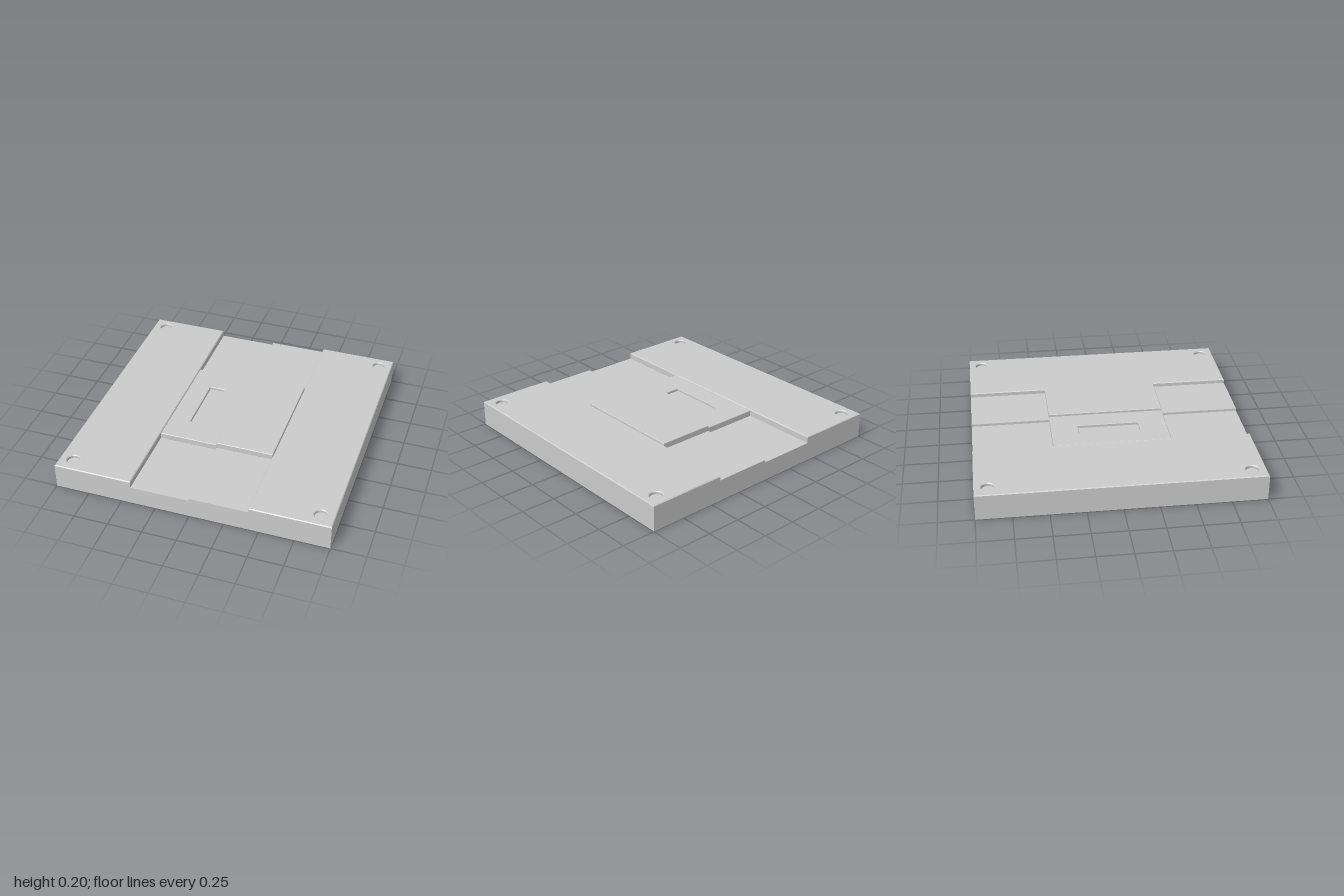
import * as THREE from 'three';

const material = new THREE.MeshStandardMaterial({ color: 0xcccccc });

function rectangle(path, x0, x1, z0, z1) {
  path.moveTo(x0, -z1);
  path.lineTo(x1, -z1);
  path.lineTo(x1, -z0);
  path.lineTo(x0, -z0);
  path.closePath();
  return path;
}

// Flat plate with chamfered edges, spanning y0 to y1
function plate(name, shape, y0, y1, bevel) {
  const geometry = new THREE.ExtrudeGeometry(shape, {
    depth: y1 - y0 - 2 * bevel,
    bevelEnabled: true,
    bevelSize: bevel,
    bevelThickness: bevel,
    bevelOffset: -bevel,
    bevelSegments: 1,
    curveSegments: 32,
  });
  geometry.rotateX(-Math.PI / 2).translate(0, y0 + bevel, 0);
  const mesh = new THREE.Mesh(geometry, material);
  mesh.name = name;
  return mesh;
}

export function createModel() {
  const model = new THREE.Group();
  model.name = 'slidePlate';

  // Base body with the two-level channel, running front to back
  const profile = new THREE.Shape([
    [-1, 0], [1, 0], [1, 0.168], [0.425, 0.168], [0.425, 0.158],
    [0, 0.158], [0, 0.14], [-0.428, 0.14], [-0.428, 0.168], [-1, 0.168],
  ].map(([x, y]) => new THREE.Vector2(x, y)));
  const body = new THREE.Mesh(
    new THREE.ExtrudeGeometry(profile, { depth: 2, bevelEnabled: false }).translate(0, 0, -1),
    material,
  );
  body.name = 'baseBody';
  model.add(body);

  // Raised side decks with chamfered round recesses in the outer corners
  for (const [name, x0, x1, holeX] of [
    ['rightDeck', -1, -0.428, -0.9],
    ['leftDeck', 0.425, 1, 0.9],
  ]) {
    const shape = rectangle(new THREE.Shape(), x0, x1, -1, 1);
    for (const z of [-0.905, 0.9]) {
      shape.holes.push(new THREE.Path().absarc(holeX, -z, 0.045, 0, Math.PI * 2, true));
    }
    model.add(plate(name, shape, 0.145, 0.19, 0.006));
  }

  // Lower slide with its rectangular pocket
  const lower = rectangle(new THREE.Shape(), -0.426, 0, -0.425, 0.425);
  lower.holes.push(rectangle(new THREE.Path(), -0.272, -0.158, -0.226, 0.221));
  model.add(plate('lowerSlide', lower, 0.138, 0.185, 0.003));

  const floor = new THREE.Mesh(new THREE.BoxGeometry(0.13, 0.022, 0.46), material);
  floor.name = 'pocketFloor';
  floor.position.set(-0.215, 0.154, -0.0025);
  model.add(floor);

  // Upper slide on the shallower channel
  const upper = rectangle(new THREE.Shape(), 0, 0.423, -0.425, 0.425);
  model.add(plate('upperSlide', upper, 0.156, 0.202, 0.003));

  return model;
}
